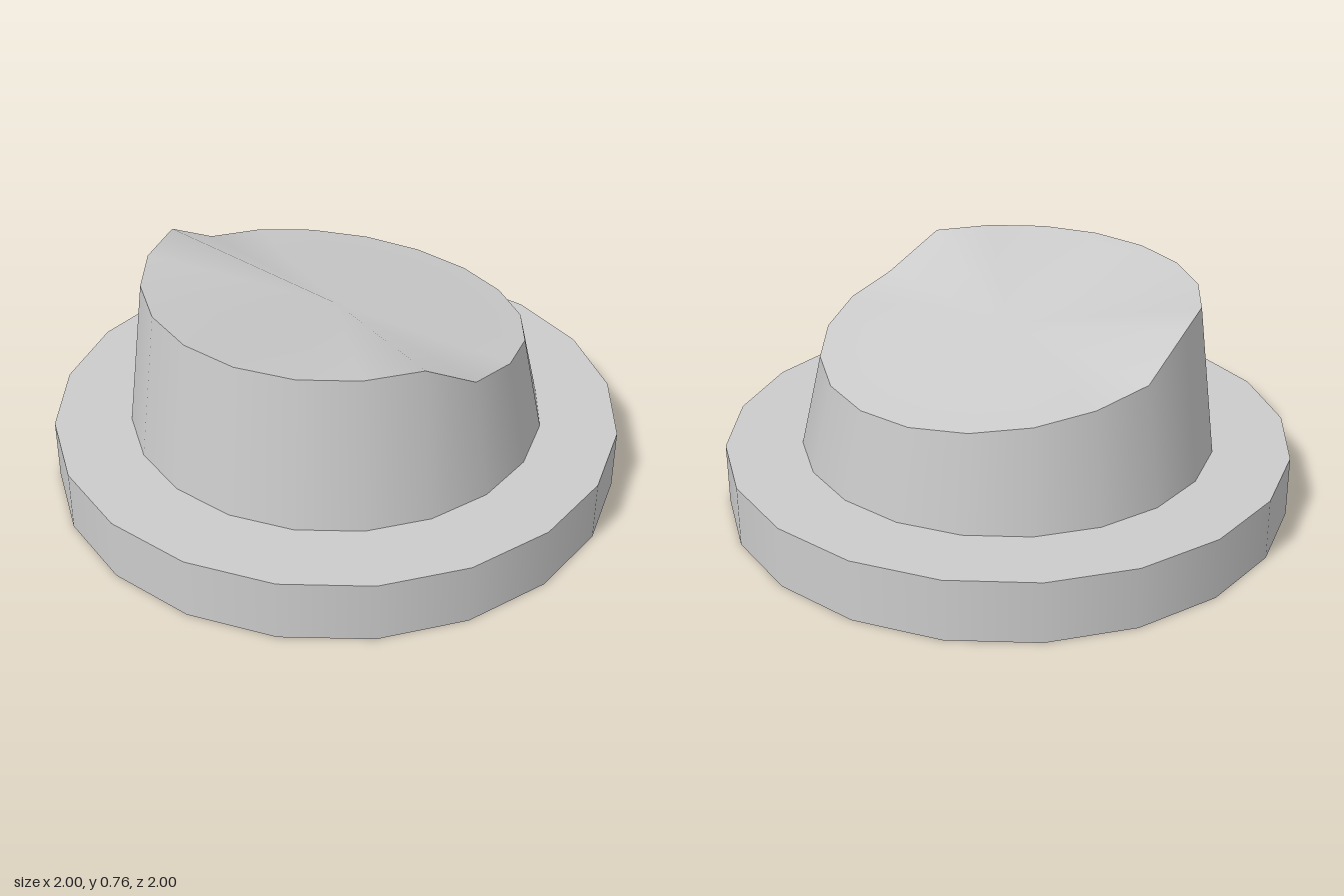
import * as THREE from 'three';

const SIDES = 20;
const BASE_HEIGHT = 0.22;
const HUB_RADIUS = 0.73;
const DISH_HEIGHT = 0.64;
const HIGH_RIM = 0.76;

// Rim height: level on the right, stepping down at the middle, then a gentle slope.
function rimHeight(x) {
  if (x < -0.15) return HIGH_RIM;
  return DISH_HEIGHT - 0.177 * Math.max(x, 0);
}

// Place a rim vertex from its direction (unit x and z).
function setRim(position, i, ux, uz) {
  const x = 0.6575 * ux - 0.0075;
  position.setXYZ(i, x, rimHeight(Math.abs(ux) < 0.01 ? 0 : x), 0.663 * uz);
}

export function createModel() {
  const group = new THREE.Group();
  const material = new THREE.MeshStandardMaterial({ color: 0xcccccc });
  const add = (name, geometry) => {
    const mesh = new THREE.Mesh(geometry, material);
    mesh.name = name;
    group.add(mesh);
    return mesh;
  };

  // Broad round base
  add('base', new THREE.CylinderGeometry(1, 1, BASE_HEIGHT, SIDES)).position.y = BASE_HEIGHT / 2;

  // Tapered hub wall with a sloping rim
  const wall = new THREE.CylinderGeometry(1, 1.12, 1, SIDES, 1, true);
  const wp = wall.attributes.position;
  for (let i = 0; i < wp.count; i++) {
    if (wp.getY(i) > 0) setRim(wp, i, wp.getX(i), wp.getZ(i));
    else wp.setXYZ(i, wp.getX(i) / 1.12 * HUB_RADIUS, BASE_HEIGHT, wp.getZ(i) / 1.12 * HUB_RADIUS);
  }
  add('hubWall', wall);

  // Top face: a fan from the low centre out to the rim
  const top = new THREE.CircleGeometry(1, SIDES).rotateX(-Math.PI / 2);
  const tp = top.attributes.position;
  tp.setXYZ(0, 0, DISH_HEIGHT, 0);
  for (let i = 1; i < tp.count; i++) setRim(tp, i, tp.getX(i), tp.getZ(i));
  top.computeVertexNormals();
  add('hubTop', top);

  return group;
}
